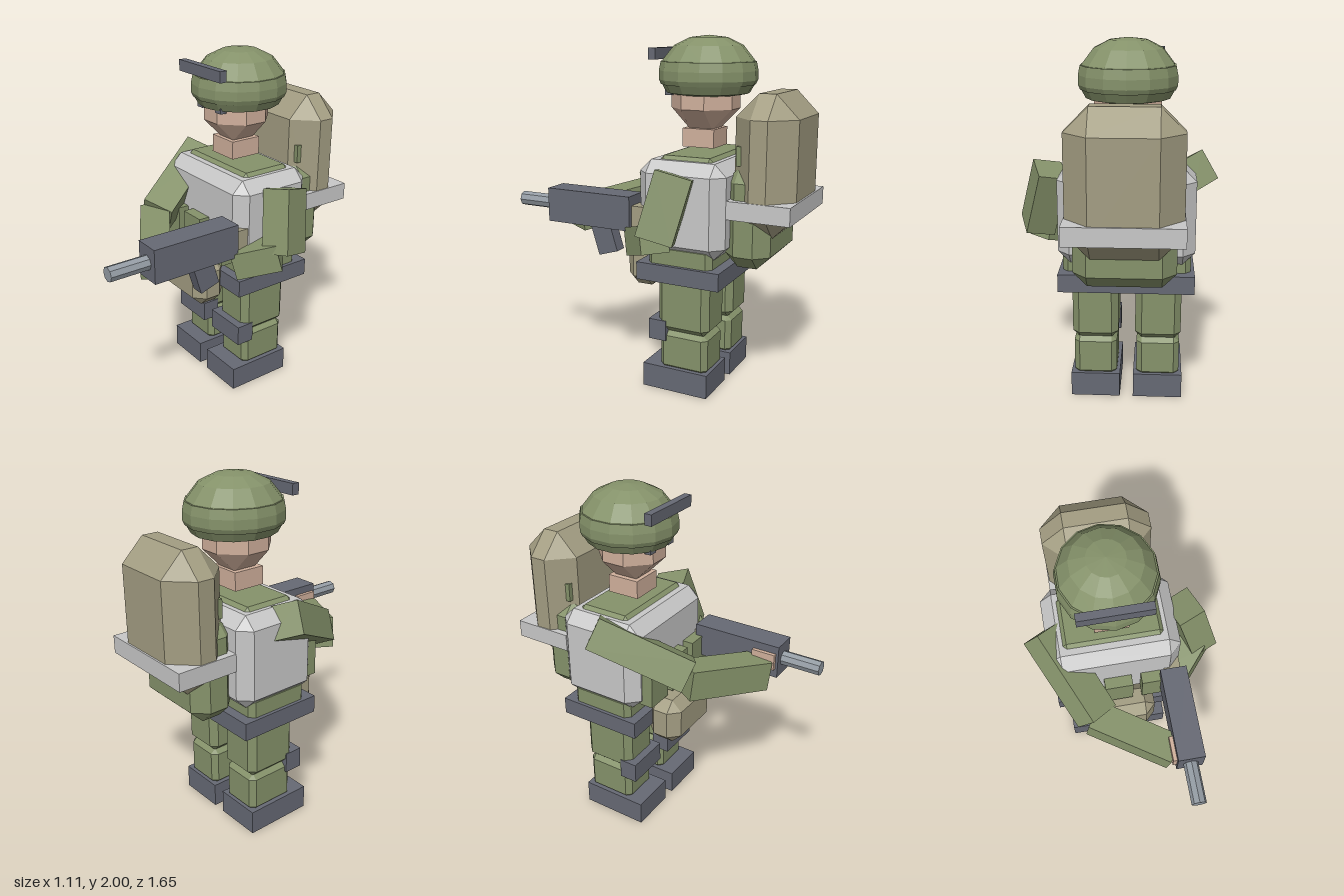
import * as THREE from 'three';
import { ConvexGeometry } from 'three/addons/geometries/ConvexGeometry.js';

const paint = (name, color) => {
  const m = new THREE.MeshStandardMaterial({ color, flatShading: true });
  m.name = name;
  return m;
};

// Axis-aligned box geometry with every edge cut off by c
function chamferBox(w, h, d, c) {
  const pts = [];
  for (const x of [-w / 2, w / 2]) for (const y of [-h / 2, h / 2]) for (const z of [-d / 2, d / 2]) {
    const ix = x - Math.sign(x) * c, iy = y - Math.sign(y) * c, iz = z - Math.sign(z) * c;
    pts.push(new THREE.Vector3(x, iy, iz), new THREE.Vector3(ix, y, iz), new THREE.Vector3(ix, iy, z));
  }
  return new ConvexGeometry(pts);
}

export function createModel() {
  const model = new THREE.Group();
  model.name = 'soldier';
  const green = paint('fatigue green', 0x85926a);
  const tan = paint('canvas tan', 0xa39d82);
  const grey = paint('vest grey', 0xc8c8c8);
  const dark = paint('dark slate', 0x666974);
  const steel = paint('barrel steel', 0x949ca4);
  const skin = paint('skin', 0xd0b09c);

  const add = (name, geo, mat, x = 0, y = 0, z = 0) => {
    const mesh = new THREE.Mesh(geo, mat);
    mesh.name = name;
    mesh.position.set(x, y, z);
    model.add(mesh);
    return mesh;
  };

  // Block given by its [min, max] ranges, with an optional chamfer
  const block = (name, mat, [x0, x1], [y0, y1], [z0, z1], c = 0) => {
    const s = [x1 - x0, y1 - y0, z1 - z0];
    const geo = c ? chamferBox(...s, c) : new THREE.BoxGeometry(...s);
    return add(name, geo, mat, (x0 + x1) / 2, (y0 + y1) / 2, (z0 + z1) / 2);
  };

  // Square limb running from a to b, one side turned to face "up"
  const limb = (name, a, b, up, w, h) => {
    const A = new THREE.Vector3(...a), B = new THREE.Vector3(...b);
    const dir = B.clone().sub(A);
    const X = new THREE.Vector3(...up).cross(dir).normalize();
    const Y = dir.clone().cross(X).normalize();
    const mesh = add(name, new THREE.BoxGeometry(w, h, dir.length()), green);
    mesh.quaternion.setFromRotationMatrix(new THREE.Matrix4().makeBasis(X, Y, dir.clone().normalize()));
    mesh.position.copy(A.add(B).multiplyScalar(0.5));
  };

  const cx = -0.053;

  // Legs, boots and knee pads
  for (const [side, x] of [['right', cx - 0.175], ['left', cx + 0.175]]) {
    const span = (w) => [x - w / 2, x + w / 2];
    block(side + 'Boot', dark, span(0.275), [0, 0.14], [-0.38, 0.02]);
    block(side + 'LowerLeg', green, span(0.24), [0.12, 0.36], [-0.367, -0.073], 0.03);
    block(side + 'Thigh', green, span(0.255), [0.352, 0.70], [-0.375, -0.062], 0.037);
    block(side + 'KneePad', dark, span(0.266), [0.30, 0.42], [-0.123, -0.015]);
  }

  // Trunk
  block('hips', green, [-0.40, 0.293], [0.69, 0.89], [-0.41, -0.025], 0.03);
  block('belt', dark, [-0.42, 0.315], [0.67, 0.77], [-0.467, 0.03]);
  block('vest', grey, [-0.42, 0.315], [0.82, 1.345], [-0.475, 0.035], 0.067);
  block('collar', green, [-0.33, 0.225], [1.2, 1.365], [-0.38, -0.07], 0.02);
  for (const x of [-0.265, cx, 0.16])
    block('magazinePouch', green, [x - 0.08, x + 0.08], [0.86, 1.07], [-0.02, 0.10]);
  block('beltBag', tan, [-0.26, 0.153], [0.562, 0.845], [-0.01, 0.2], 0.06);

  // Head
  block('neck', skin, [-0.15, 0.042], [1.392, 1.495], [-0.31, -0.12]);
  block('head', skin, [-0.23, 0.124], [1.49, 1.84], [-0.40, -0.035], 0.115);
  for (const x of [-0.135, 0.035])
    block('goggleClip', dark, [x - 0.026, x + 0.026], [1.675, 1.72], [-0.06, -0.02]);

  // Helmet dome and rolled rim
  const lathe = (pts) => new THREE.LatheGeometry(pts.map((p) => new THREE.Vector2(...p)), 14);
  const dome = lathe([[0, 1.69], [0.18, 1.68], [0.225, 1.69], [0.252, 1.74], [0.258, 1.80],
    [0.247, 1.865], [0.185, 1.945], [0.1, 1.988], [0, 2]]);
  add('helmetDome', dome, green, cx, 0, -0.232).scale.z = 1.04;
  const rim = lathe([[0.22, 1.735], [0.255, 1.735], [0.266, 1.76], [0.266, 1.81], [0.256, 1.86], [0.22, 1.86]]);
  add('helmetRim', rim, green, cx, 0, -0.232).scale.z = 1.04;
  block('helmetRail', dark, [-0.243, 0.14], [1.87, 1.932], [0, 0.043]);

  // Backpack
  block('backpack', tan, [-0.352, 0.245], [0.945, 1.71], [-0.815, -0.47], 0.126);
  block('packShelf', grey, [-0.358, 0.25], [1.055, 1.155], [-0.825, -0.475]);
  block('bedroll', green, [-0.32, 0.215], [0.77, 1.32], [-0.69, -0.43], 0.075);
  for (const x of [-0.262, 0.156])
    block('packStrap', green, [x - 0.016, x + 0.016], [1.33, 1.435], [-0.535, -0.495]);

  // Arms
  limb('rightUpperArm', [-0.431, 1.29, -0.217], [-0.207, 1.055, 0.242], [0.55, 0.78, 0.3], 0.18, 0.18);
  limb('rightForearm', [-0.23, 1.03, 0.24], [0.19, 0.965, 0.50], [0, 1, 0], 0.165, 0.175);
  limb('leftUpperArm', [0.37, 1.295, -0.235], [0.46, 0.955, -0.165], [0.3, 0.23, 0.92], 0.16, 0.2);
  limb('leftForearm', [0.44, 0.955, -0.15], [0.275, 0.885, 0.035], [0, 1, 0], 0.16, 0.155);
  block('rightHand', skin, [0.165, 0.26], [1.0, 1.095], [0.44, 0.58]);

  // Gun
  block('gunBody', dark, [0.187, 0.338], [0.945, 1.14], [0.06, 0.595]);
  block('gunStock', tan, [0.215, 0.31], [0.955, 1.085], [-0.05, 0.065]);
  add('gunGrip', new THREE.BoxGeometry(0.075, 0.2, 0.125), dark, 0.262, 0.885, 0.25).rotation.x = 0.3;
  const barrel = new THREE.CylinderGeometry(0.042, 0.042, 0.25, 8).rotateX(Math.PI / 2);
  add('gunBarrel', barrel, steel, 0.262, 1.043, 0.7);

  return model;
}
